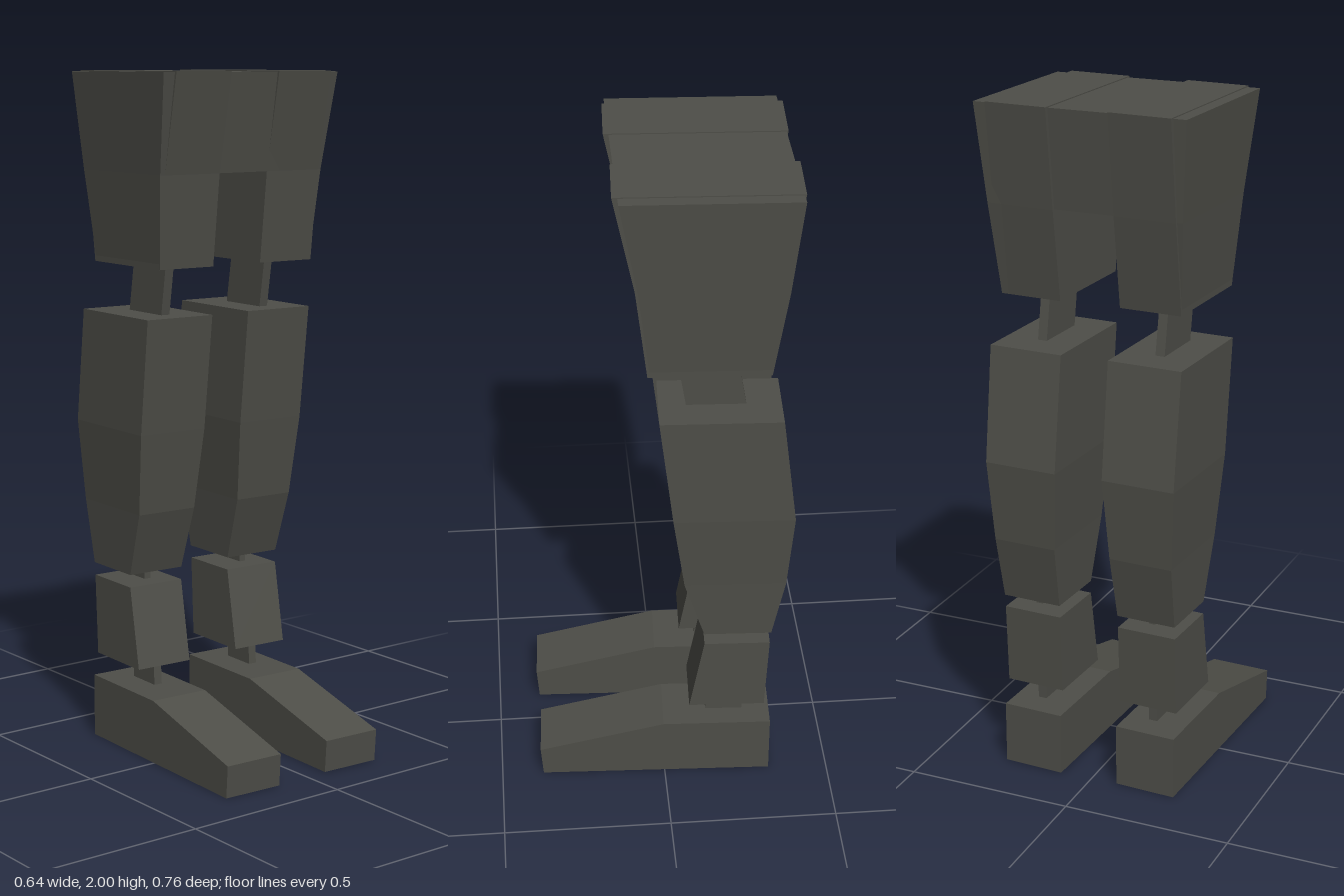
import * as THREE from 'three';

const PIVOT_Z = -0.11;   // each leg turns about this depth
const TURN = -0.042;     // slight turn of the legs toward -x

// Faceted block through rectangular sections, listed bottom to top:
// [y, left x, right x, back z, front z]; skew leans x along the depth.
function loft(name, rings, material, skew = 0) {
  const corners = rings.map(([y, x0, x1, z0, z1]) =>
    [[x0, z1], [x1, z1], [x1, z0], [x0, z0]].map(([x, z]) =>
      [x + skew * (z - PIVOT_Z), y, z]));
  const pos = [];
  const quad = (a, b, c, d) => pos.push(...a, ...b, ...c, ...a, ...c, ...d);
  for (let r = 0; r < corners.length - 1; r++) {
    const lo = corners[r], hi = corners[r + 1];
    for (let i = 0; i < 4; i++) {
      const j = (i + 1) % 4;
      quad(lo[i], lo[j], hi[j], hi[i]);
    }
  }
  const bottom = corners[0], top = corners[corners.length - 1];
  quad(top[0], top[1], top[2], top[3]);
  quad(bottom[3], bottom[2], bottom[1], bottom[0]);
  const geometry = new THREE.BufferGeometry();
  geometry.setAttribute('position', new THREE.Float32BufferAttribute(pos, 3));
  geometry.computeVertexNormals();
  const mesh = new THREE.Mesh(geometry, material);
  mesh.name = name;
  return mesh;
}

// Leg parts: centre x, then sections [y, half width, back z, front z]
const LEG_PARTS = {
  thigh: [0, [[1.45, 0.092, -0.293, 0.046], [1.715, 0.092, -0.33, 0.078], [2, 0.092, -0.364, 0.137]]],
  kneeLink: [0, [[1.29, 0.014, -0.234, -0.066], [1.47, 0.014, -0.203, -0.036]]],
  calf: [0, [[0.54, 0.09, -0.318, -0.12], [0.73, 0.096, -0.355, -0.06],
    [0.97, 0.11, -0.373, -0.026], [1.307, 0.111, -0.33, 0.014]]],
  shinLink: [0.012, [[0.49, 0.01, -0.252, -0.185], [0.55, 0.01, -0.252, -0.185]]],
  ankle: [0, [[0.262, 0.09, -0.304, -0.078], [0.502, 0.09, -0.315, -0.121]]],
  ankleLink: [0.012, [[0.18, 0.013, -0.243, -0.13], [0.27, 0.013, -0.243, -0.135]]],
  foot: [0, [[0, 0.092, -0.325, 0.37], [0.095, 0.092, -0.325, 0.377], [0.188, 0.092, -0.325, 0]]],
};

function makeLeg(name, side, material) {
  const leg = new THREE.Group();
  leg.name = name;
  leg.position.set(side * 0.18, 0, PIVOT_Z);
  leg.rotation.y = TURN;
  for (const [part, [cx, sections]] of Object.entries(LEG_PARTS)) {
    const rings = sections.map(([y, w, z0, z1]) => [y, cx - w, cx + w, z0, z1]);
    const mesh = loft(part, rings, material);
    mesh.position.z = -PIVOT_Z;
    leg.add(mesh);
  }
  return leg;
}

export function createModel() {
  const model = new THREE.Group();
  model.name = 'armouredLegs';
  const darkGrey = new THREE.MeshStandardMaterial({ color: 0x4e4e48 });
  darkGrey.name = 'darkGrey';

  model.add(makeLeg('leftLeg', 1, darkGrey), makeLeg('rightLeg', -1, darkGrey));

  // Bridge between the thighs
  model.add(loft('pelvis', [
    [1.715, -0.15, 0.15, -0.325, 0.076],
    [1.997, -0.15, 0.15, -0.355, 0.125],
  ], darkGrey));

  // Flared outer hip shells, narrowing down to the thigh bottoms
  for (const side of [1, -1]) {
    const sections = [[1.451, 0.271, -0.29, 0.043], [1.715, 0.289, -0.327, 0.074], [1.997, 0.31, -0.355, 0.125]];
    const rings = sections.map(([y, outer, z0, z1]) =>
      [y, Math.min(side * 0.18, side * outer), Math.max(side * 0.18, side * outer), z0, z1]);
    model.add(loft(side > 0 ? 'leftHipShell' : 'rightHipShell', rings, darkGrey, TURN));
  }
  return model;
}
